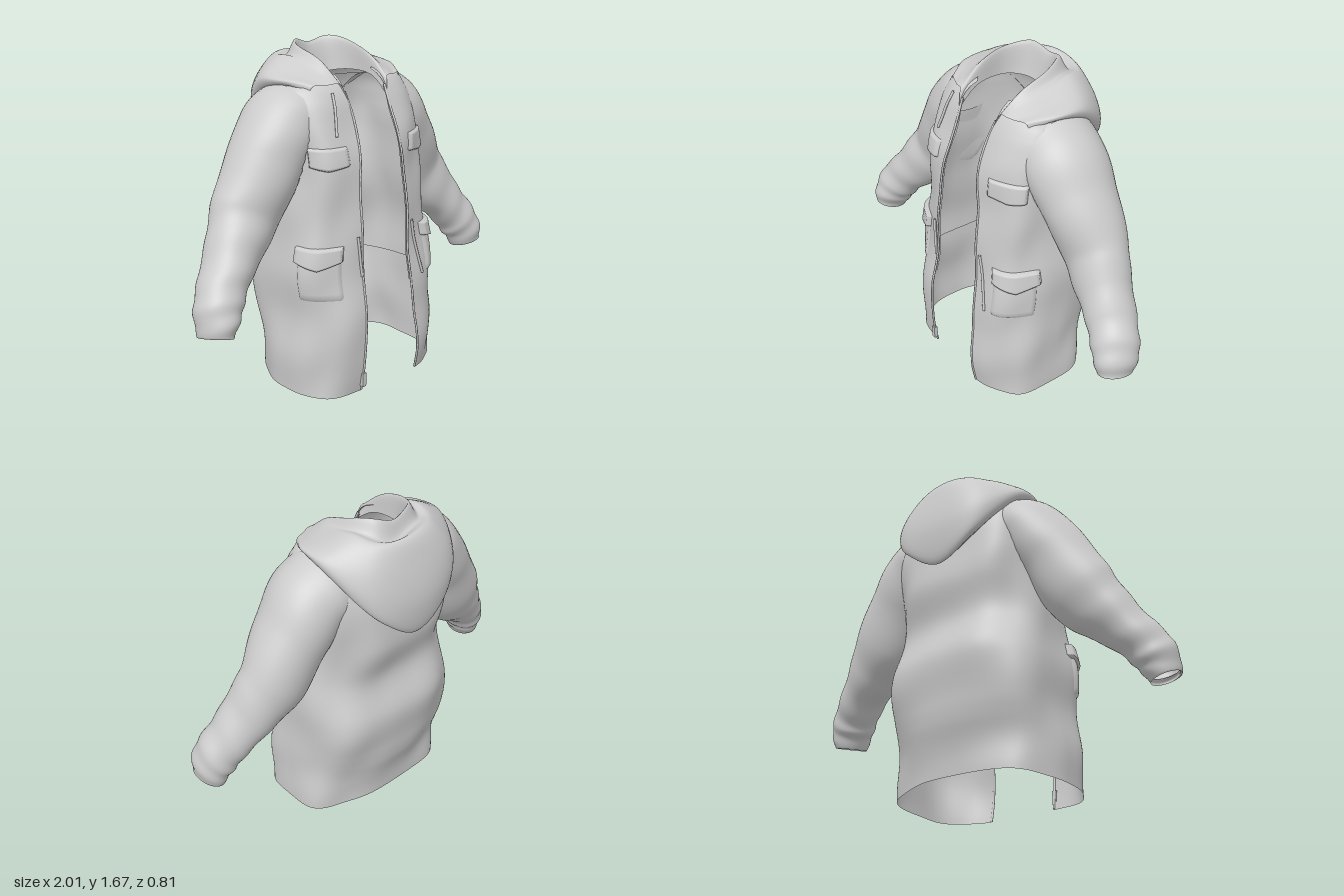
import * as THREE from 'three';
import { mergeVertices } from 'three/addons/utils/BufferGeometryUtils.js';

const cloth = new THREE.MeshStandardMaterial({ color: 0xcccccc, side: THREE.DoubleSide });
const V = (x, y, z) => new THREE.Vector3(x, y, z);

// Smooth sheet from a rule f(u, v) -> Vector3, with u and v from 0 to 1
function sheet(name, f, nu, nv) {
  const pos = [], idx = [];
  for (let j = 0; j <= nv; j++)
    for (let i = 0; i <= nu; i++) pos.push(...f(i / nu, j / nv).toArray());
  for (let j = 0; j < nv; j++)
    for (let i = 0; i < nu; i++) {
      const a = j * (nu + 1) + i, b = a + nu + 1;
      idx.push(a, a + 1, b, a + 1, b + 1, b);
    }
  let g = new THREE.BufferGeometry();
  g.setAttribute('position', new THREE.Float32BufferAttribute(pos, 3));
  g.setIndex(idx);
  g = mergeVertices(g, 1e-5);
  g.computeVertexNormals();
  const m = new THREE.Mesh(g, cloth);
  m.name = name;
  return m;
}

function tube(name, points, r) {
  const curve = new THREE.CatmullRomCurve3(points);
  const m = new THREE.Mesh(new THREE.TubeGeometry(curve, 32, r, 6), cloth);
  m.name = name;
  return m;
}

// Body sections: height, half width, front z, back z, half gap of the opening
const BODY = [
  [0.005, 0.45, 0.385, -0.22, 0.19], [0.2, 0.445, 0.405, -0.235, 0.185],
  [0.4, 0.435, 0.395, -0.29, 0.175], [0.62, 0.44, 0.365, -0.32, 0.165],
  [0.85, 0.41, 0.345, -0.265, 0.16], [1.05, 0.395, 0.33, -0.305, 0.155],
  [1.2, 0.395, 0.31, -0.305, 0.135], [1.35, 0.395, 0.26, -0.285, 0.125],
  [1.45, 0.375, 0.215, -0.25, 0.135], [1.51, 0.32, 0.17, -0.21, 0.13],
  [1.54, 0.18, 0.13, -0.17, 0.12],
];
const section = new THREE.CubicInterpolant(BODY.map(r => r[0]), BODY.flatMap(r => r.slice(1)), 4);
// The front corners are squarer than the back ones
const FRONT = 0.6, BACK = 0.74;
const power = (v, e) => Math.sign(v) * Math.abs(v) ** e;

// Angle (0 = front, PI = back) at which the front of the body reaches a given x
function angleAt(x, y) {
  const hw = section.evaluate(y)[0];
  return Math.asin(Math.min(1, (x / hw) ** (1 / FRONT)));
}
function edgeAngle(y) {
  return angleAt(section.evaluate(y)[3], y);
}
// Point on the body, with soft cloth folds and a raised back hem
function bodyPoint(t, y, off = 0) {
  const [hw, zf, zb] = section.evaluate(y);
  const fade = Math.max(0, Math.min(1, (1.54 - y) * 4));
  const d = off + fade * (0.005 * Math.sin(4 * t + 9 * y) + 0.004 * Math.sin(17 * y - 3 * t)
    + 0.006 * Math.sin(7 * t - 5 * y));
  const s = Math.sin(t), c = Math.cos(t), e = c < 0 ? BACK : FRONT;
  const lift = 0.055 * ((1 - c) / 2) ** 2 * Math.max(0, 1 - y / 0.3);
  return V(hw * power(s, e) + d * s, y + lift, (zf + zb) / 2 + (zf - zb) / 2 * power(c, e) + d * c);
}
// Half width of the body at a height and depth, 0 in front of or behind it
function bodyX(y, z) {
  const [, zf, zb] = section.evaluate(y);
  const k = (2 * z - zf - zb) / (zf - zb);
  if (Math.abs(k) >= 1) return 0;
  return bodyPoint(Math.acos(power(k, 1 / (k < 0 ? BACK : FRONT))), y, -0.008).x;
}
function bodySheet(name, y0, y1, off) {
  return sheet(name, (u, v) => {
    const y = y0 + (y1 - y0) * v, a = edgeAngle(y);
    return bodyPoint(a + (2 * Math.PI - 2 * a) * u, y, off);
  }, 112, 72);
}
const onSide = (s, t) => (s > 0 ? t : 2 * Math.PI - t);

// Raised pocket or flap that follows the body; dip lowers the middle of its lower edge
function patch(name, s, t0, t1, y0, y1, dip, thick) {
  return sheet(name, (u, v) => {
    const low = y0 - dip * (1 - Math.abs(2 * u - 1));
    const inner = Math.min(u, 1 - u, v, 1 - v) > 0.001;
    return bodyPoint(onSide(s, t0 + (t1 - t0) * u), low + (y1 - low) * v, inner ? thick : -0.004);
  }, 18, 12);
}
function cord(name, s, x0, y0, x1, y1) {
  const pts = [0, 0.33, 0.66, 1].map(k => {
    const y = y0 + (y1 - y0) * k;
    return bodyPoint(onSide(s, angleAt(x0 + (x1 - x0) * k, y)), y, 0.006);
  });
  return tube(name, pts, 0.007);
}

// Sleeve stations: centre x, y, z, then radius in the front plane and in depth
const SLEEVE = [
  [0.26, 1.37, -0.02, 0.165, 0.20], [0.36, 1.30, -0.015, 0.18, 0.21],
  [0.475, 1.14, -0.015, 0.18, 0.19], [0.60, 0.93, -0.02, 0.18, 0.15],
  [0.70, 0.81, 0.01, 0.147, 0.135], [0.80, 0.70, 0.04, 0.115, 0.125],
  [0.87, 0.61, 0.07, 0.11, 0.118], [0.905, 0.54, 0.09, 0.10, 0.115],
  [0.925, 0.46, 0.105, 0.075, 0.095], [0.92, 0.475, 0.105, 0.065, 0.085],
];
function sleeve(s) {
  const n = SLEEVE.length - 1;
  const shift = p => (s < 0 ? 0.07 * Math.max(0, p[0] - 0.35) / 0.5 : 0);
  const axis = new THREE.CatmullRomCurve3(SLEEVE.slice(0, n).map(p => V(p[0], p[1], p[2] + shift(p))));
  const radii = new THREE.CubicInterpolant(SLEEVE.map((_, i) => i), SLEEVE.flatMap(p => p.slice(3)), 2);
  return sheet(s > 0 ? 'leftSleeve' : 'rightSleeve', (u, v) => {
    const k = v * n, along = Math.min(1, k <= n - 1 ? k / (n - 1) : 1 - (k - n + 1) * 0.04);
    const c = axis.getPoint(along), dir = axis.getTangent(along);
    const side = V(0, 0, 1).cross(dir).normalize(), depth = dir.clone().cross(side);
    const [ra, rb] = radii.evaluate(k);
    const a = (u % 1) * 2 * Math.PI;
    // Creases grow towards the cuff
    const crease = 1 + (0.01 + 0.04 * v * v) * Math.sin(k * 5.2 + 2 * Math.sin(a + s))
      + 0.015 * Math.sin(3 * a + k * 1.3 + s);
    c.addScaledVector(side, Math.cos(a) * ra * crease).addScaledVector(depth, Math.sin(a) * rb * crease);
    // The shoulder end lies against the body wall
    if (k < 4) c.x = Math.max(c.x, bodyX(c.y, c.z));
    c.x *= s;
    return c;
  }, 48, 81);
}

// Hood half sections from the front end to the middle of the back. Each runs:
// neck, collar rim, hollow, hood rim, bulge, outside, lower edge, tuck
const HOOD = [
  [[.13, 1.42, .225], [.155, 1.50, .20], [.17, 1.51, .19], [.19, 1.51, .19],
    [.24, 1.505, .17], [.29, 1.505, .15], [.30, 1.48, .14], [.26, 1.46, .14]],
  [[.15, 1.50, .10], [.165, 1.60, .07], [.19, 1.59, .06], [.22, 1.575, .05],
    [.29, 1.55, .04], [.365, 1.53, .02], [.36, 1.51, .02], [.30, 1.49, .03]],
  [[.15, 1.51, -.06], [.16, 1.655, -.08], [.19, 1.61, -.11], [.22, 1.61, -.14],
    [.31, 1.56, -.14], [.37, 1.51, -.13], [.35, 1.46, -.14], [.29, 1.45, -.15]],
  [[.09, 1.50, -.14], [.10, 1.67, -.18], [.13, 1.60, -.22], [.17, 1.61, -.26],
    [.22, 1.52, -.31], [.24, 1.36, -.34], [.21, 1.24, -.335], [.17, 1.26, -.28]],
  [[0, 1.49, -.16], [0, 1.65, -.21], [0, 1.57, -.245], [0, 1.595, -.295],
    [0, 1.49, -.355], [0, 1.28, -.405], [0, 1.11, -.365], [0, 1.16, -.30]],
];
function hood() {
  const mirrored = HOOD.slice(0, -1).reverse().map(r => r.map(([x, y, z]) => [-x, y, z]));
  const rows = [...HOOD, ...mirrored];
  const rails = HOOD[0].map((_, i) => new THREE.CatmullRomCurve3(rows.map(r => V(...r[i]))));
  return sheet('hood', (u, v) => {
    const p = new THREE.CatmullRomCurve3(rails.map(r => r.getPoint(u))).getPoint(v);
    // Folds in the slack cloth
    const f = 0.012 * Math.sin(Math.PI * v) * Math.sin(Math.PI * u);
    p.y += f * Math.sin(u * 23 + v * 5);
    p.z += f * Math.sin(u * 17 - v * 9);
    return p;
  }, 72, 48);
}

export function createModel() {
  const jacket = new THREE.Group();
  jacket.name = 'jacket';
  jacket.add(bodySheet('body', 0.005, 1.54, 0), bodySheet('lining', 0.49, 1.46, -0.014), hood());

  for (const s of [1, -1]) {
    const side = s > 0 ? 'left' : 'right';
    jacket.add(sleeve(s));
    // Front edge with its zip tape
    const edge = [];
    for (let i = 0; i <= 14; i++) {
      const y = 0.01 + 1.46 * i / 14;
      edge.push(bodyPoint(onSide(s, edgeAngle(y)), y));
    }
    jacket.add(tube(side + 'ZipEdge', edge, 0.006));
    // Pockets and flaps
    jacket.add(
      patch(side + 'ChestFlap', s, 0.33, 1.12, 1.14, 1.235, 0.015, 0.014),
      patch(side + 'LowerPocket', s, 0.5, 1.3, 0.5, 0.75, 0, 0.01),
      patch(side + 'LowerFlap', s, 0.47, 1.38, 0.695, 0.765, 0.04, 0.025),
    );
  }

  // Drawcords and zip slider
  jacket.add(
    cord('neckCord', -1, 0.21, 1.47, 0.25, 1.28),
    cord('leftWaistCord', 1, 0.19, 0.8, 0.25, 0.51),
    cord('rightWaistCord', -1, 0.19, 0.8, 0.175, 0.6),
  );
  const slider = new THREE.Mesh(new THREE.BoxGeometry(0.022, 0.07, 0.02), cloth);
  slider.name = 'zipSlider';
  slider.position.copy(bodyPoint(onSide(-1, edgeAngle(0.07)), 0.07, 0.005));
  jacket.add(slider);
  return jacket;
}
